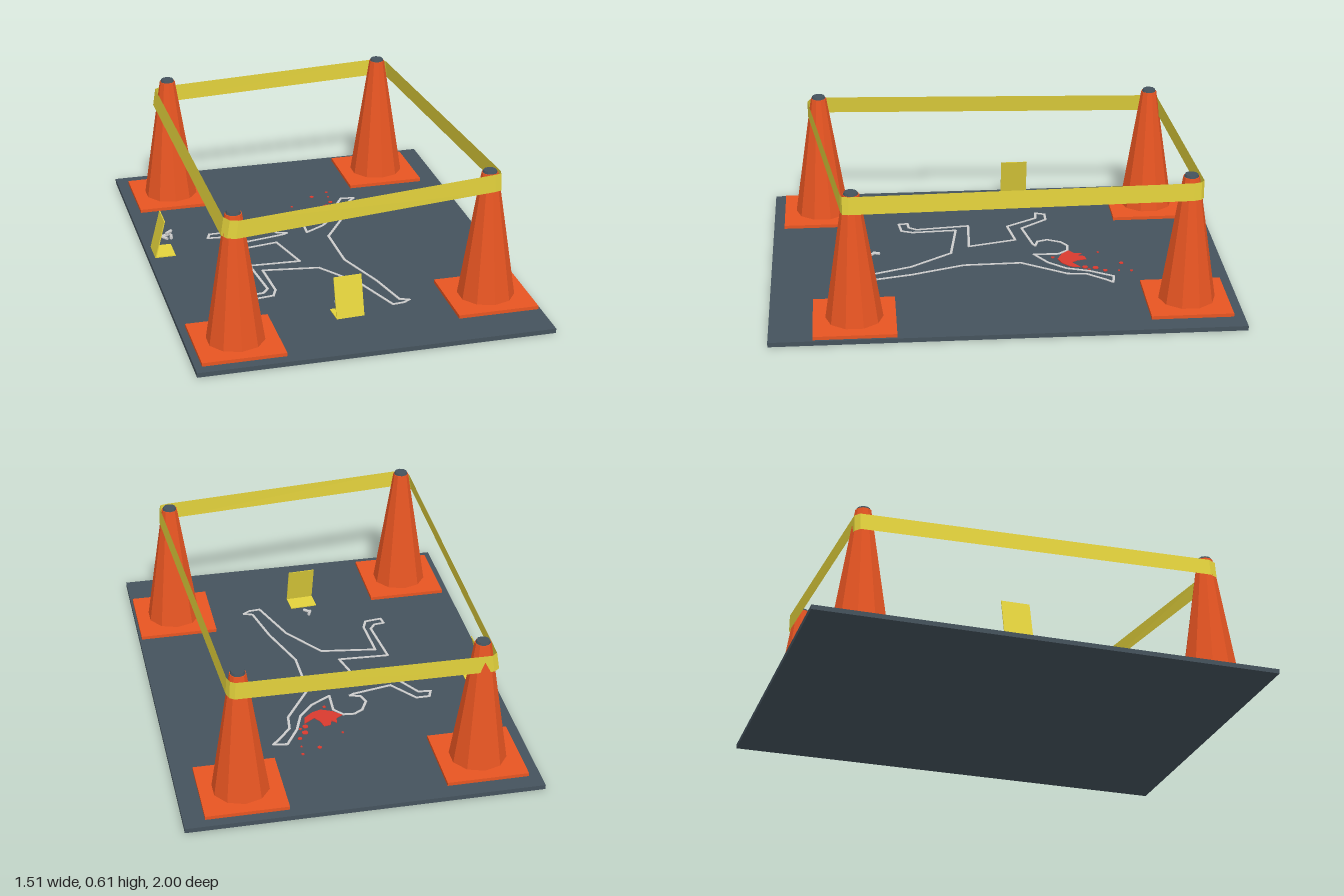
import * as THREE from 'three';
import { mergeGeometries } from 'three/addons/utils/BufferGeometryUtils.js';

const GROUND = 0x45535d, ORANGE = 0xe85522, YELLOW = 0xe3d23c;
const FLOOR = 0.02; // top of the ground slab

const mat = (color, extra = {}) => new THREE.MeshStandardMaterial({ color, flatShading: true, ...extra });

function add(parent, name, geometry, material, x = 0, y = 0, z = 0) {
  const mesh = new THREE.Mesh(geometry, material);
  mesh.name = name;
  mesh.position.set(x, y, z);
  parent.add(mesh);
  return mesh;
}

// Traffic cone: square foot, ten-sided body, dark tip
function makeCone(x, z) {
  const cone = new THREE.Group();
  cone.name = 'trafficCone';
  const orange = mat(ORANGE);
  add(cone, 'coneFoot', new THREE.BoxGeometry(0.35, 0.015, 0.35), orange, 0, 0.0075, 0);
  add(cone, 'coneBody', new THREE.CylinderGeometry(0.035, 0.122, 0.56, 10), orange, 0, 0.295, 0);
  add(cone, 'coneTip', new THREE.CylinderGeometry(0.028, 0.032, 0.01, 10), mat(GROUND), 0, 0.58, 0);
  cone.position.set(x, FLOOR, z);
  return cone;
}

// Closed ribbon running round the cones: [x, middle height, z]
function makeTape() {
  const path = [
    [-0.59, 0.513, -0.775], [-0.565, 0.513, -0.795], [0.51, 0.543, -0.832], [0.53, 0.543, -0.818],
    [0.54, 0.543, -0.785], [0.615, 0.56, 0.65], [0.608, 0.56, 0.677], [0.58, 0.56, 0.685],
    [-0.545, 0.543, 0.828], [-0.578, 0.543, 0.815], [-0.597, 0.543, 0.78],
  ];
  const half = 0.039, positions = [], index = [], n = path.length;
  path.forEach(([x, y, z], i) => {
    const flare = x < 0 ? 0.006 : 0.002; // lower edge follows the cone's slope
    positions.push(x - Math.sign(x) * flare, y + half, z, x + Math.sign(x) * flare, y - half, z);
    const a = 2 * i, b = 2 * ((i + 1) % n);
    index.push(a, b, a + 1, b, b + 1, a + 1);
  });
  const geometry = new THREE.BufferGeometry();
  geometry.setAttribute('position', new THREE.Float32BufferAttribute(positions, 3));
  geometry.setIndex(index);
  geometry.computeVertexNormals();
  return geometry;
}

// Folded evidence marker: flat foot and leaning panel
function makeMarker(x, z, turn) {
  const profile = [[-0.045, 0], [0.047, 0], [0.002, 0.172], [-0.002, 0.172], [0.041, 0.004], [-0.045, 0.004]];
  const shape = new THREE.Shape(profile.map(p => new THREE.Vector2(...p)));
  const geometry = new THREE.ExtrudeGeometry(shape, { depth: 0.122, bevelEnabled: false });
  geometry.translate(0, 0, -0.061).rotateY(-Math.PI / 2);
  const marker = new THREE.Group();
  marker.name = 'evidenceMarker';
  add(marker, 'markerPanel', geometry, mat(YELLOW));
  marker.position.set(x, FLOOR + 0.001, z);
  marker.rotation.y = turn;
  return marker;
}

// Chalk body outline, a closed chain of thin flat strips: [x, z]
function makeOutline() {
  const path = [
    // head
    [-0.1, -0.185], [-0.145, -0.2], [-0.16, -0.245], [-0.13, -0.305], [-0.09, -0.33], [-0.04, -0.325],
    [-0.005, -0.28], [-0.01, -0.17],
    // raised arm
    [0.08, -0.225], [0.145, -0.3], [0.18, -0.4], [0.24, -0.5], [0.3, -0.49], [0.27, -0.46],
    [0.21, -0.385], [0.2, -0.3], [0.075, -0.105],
    // straight leg
    [0.08, 0.15], [0.16, 0.385], [0.205, 0.58], [0.245, 0.595], [0.215, 0.615], [0.165, 0.62],
    [0.08, 0.385], [-0.05, 0.2],
    // bent leg
    [-0.295, 0.165], [-0.285, 0.365], [-0.305, 0.415], [-0.38, 0.425], [-0.385, 0.385], [-0.34, 0.38],
    [-0.315, 0.345], [-0.34, 0.105], [-0.115, 0.115],
    // bent arm
    [-0.17, -0.1], [-0.32, -0.075], [-0.405, -0.215], [-0.46, -0.22], [-0.445, -0.26], [-0.385, -0.26],
    [-0.295, -0.14], [-0.12, -0.175],
  ];
  const strips = path.map(([x, z], i) => {
    const [x2, z2] = path[(i + 1) % path.length];
    const strip = new THREE.BoxGeometry(Math.hypot(x2 - x, z2 - z) + 0.006, 0.003, 0.011);
    strip.rotateY(-Math.atan2(z2 - z, x2 - x));
    return strip.translate((x + x2) / 2, FLOOR + 0.0015, (z + z2) / 2);
  });
  return mergeGeometries(strips);
}

// Red splash: one ragged patch and scattered drops
function makeSplash() {
  const edge = [[-0.035, -0.33], [-0.005, -0.35], [0, -0.385], [0.02, -0.365], [0.03, -0.395], [0.06, -0.4],
    [0.07, -0.36], [0.09, -0.33], [0.14, -0.365], [0.13, -0.32], [0.09, -0.285], [0.05, -0.272], [0, -0.295]];
  const shape = new THREE.Shape(edge.map(([x, z]) => new THREE.Vector2(x, -z)));
  const patch = new THREE.ExtrudeGeometry(shape, { depth: 0.003, bevelEnabled: false });
  patch.rotateX(-Math.PI / 2).translate(0, FLOOR + 0.001, 0);
  const drops = [[0.15, -0.43, 0.014], [0.14, -0.385, 0.013], [0.18, -0.47, 0.01], [0.19, -0.585, 0.007],
    [0.11, -0.55, 0.01], [-0.01, -0.46, 0.006], [0.03, -0.252, 0.008], [0.165, -0.4, 0.007], [0.185, -0.53, 0.005]];
  const dots = drops.map(([x, z, r]) =>
    new THREE.CylinderGeometry(r, r, 0.003, 8).translate(x, FLOOR + 0.002, z).toNonIndexed());
  return mergeGeometries([patch, ...dots]);
}

export function createModel() {
  const model = new THREE.Group();
  model.name = 'crimeScene';

  add(model, 'groundSlab', new THREE.BoxGeometry(1.51, FLOOR, 2), mat(GROUND), 0, FLOOR / 2, 0);

  for (const [x, z] of [[-0.53, -0.75], [0.49, -0.78], [-0.55, 0.777], [0.57, 0.64]]) model.add(makeCone(x, z));

  add(model, 'barrierTape', makeTape(), mat(YELLOW, { side: THREE.DoubleSide }));
  add(model, 'bodyOutline', makeOutline(), mat(0xcccccc));
  add(model, 'redSplash', makeSplash(), mat(0xd93a2f));

  model.add(makeMarker(-0.68, -0.137, -Math.PI / 2), makeMarker(-0.043, 0.645, 0.06));

  // Spent casings: x, y, z, turn
  const casings = [[-0.645, 0.028, -0.285, 0.3], [-0.62, 0.028, -0.265, 1.4], [-0.615, 0.028, -0.315, 1.2],
    [-0.63, 0.042, -0.285, 0.7], [-0.65, 0.028, -0.26, 2.2], [-0.06, 0.028, 0.535, 1.2], [-0.05, 0.028, 0.555, 2.4]];
  for (const [x, y, z, turn] of casings) {
    const geometry = new THREE.CylinderGeometry(0.007, 0.007, 0.032, 8).rotateZ(Math.PI / 2).rotateY(turn);
    add(model, 'casing', geometry, mat(0xcccccc), x, y, z);
  }
  return model;
}
